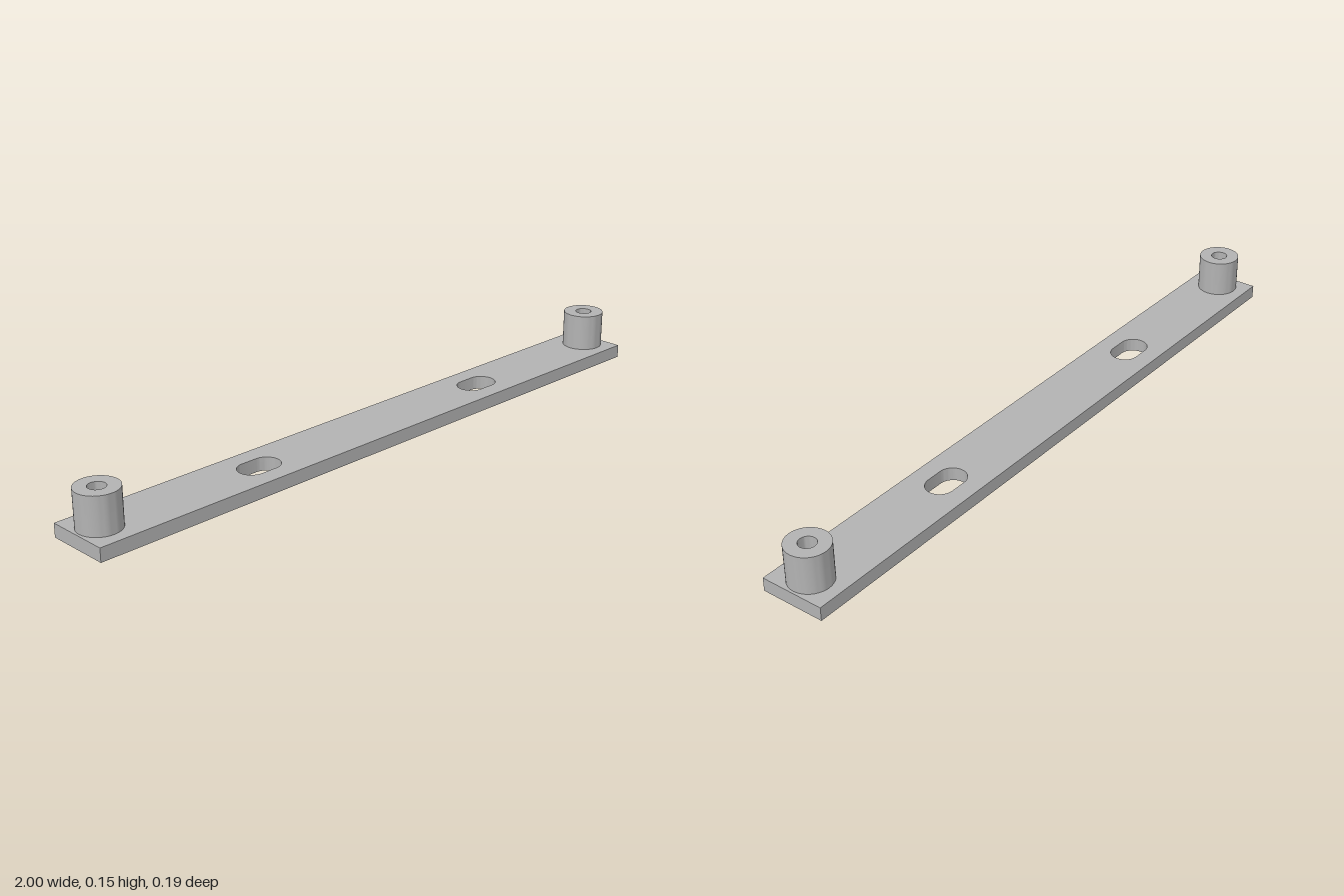
import * as THREE from 'three';
import { toCreasedNormals } from 'three/addons/utils/BufferGeometryUtils.js';

const THICK = 0.039, HALF_W = 0.094, BOSS_X = 0.933, TOP = 0.147;

// Extrude a plan shape upward from height y0 to y1, keeping sharp edges crisp
function slab(shape, y0, y1) {
  const geo = new THREE.ExtrudeGeometry(shape, { depth: y1 - y0, bevelEnabled: false, curveSegments: 24 });
  geo.rotateX(-Math.PI / 2).translate(0, y0, 0);
  return toCreasedNormals(geo, Math.PI / 5);
}

const circle = (Type, r) => new Type().absarc(0, 0, r, 0, Math.PI * 2, false);

// Rounded slot, lengthwise along x
function slotHole(cx, half, r) {
  const p = new THREE.Path();
  p.absarc(cx + half - r, 0, r, -Math.PI / 2, Math.PI / 2, false);
  p.absarc(cx - half + r, 0, r, Math.PI / 2, Math.PI * 1.5, false);
  p.closePath();
  return p;
}

// Hexagonal nut pocket with corners pointing across the bar
function hexHole(cx, r) {
  const points = [];
  for (let i = 0; i < 6; i++) {
    const a = Math.PI / 2 + (i * Math.PI) / 3;
    points.push(new THREE.Vector2(cx + r * Math.cos(a), r * Math.sin(a)));
  }
  return new THREE.Path(points);
}

export function createModel() {
  const group = new THREE.Group();
  const grey = new THREE.MeshStandardMaterial({ color: 0xb3b3b3 });
  grey.name = 'grey';

  // Flat bar with two slots and a nut pocket under each boss
  const bar = new THREE.Shape([
    new THREE.Vector2(-1, -HALF_W), new THREE.Vector2(1, -HALF_W),
    new THREE.Vector2(1, HALF_W), new THREE.Vector2(-1, HALF_W),
  ]);
  for (const side of [-1, 1]) {
    bar.holes.push(slotHole(side * 0.427, 0.065, 0.041), hexHole(side * BOSS_X, 0.042));
  }
  const plate = new THREE.Mesh(slab(bar, 0, THICK), grey);
  plate.name = 'mountingBar';
  group.add(plate);

  // Bored round boss at each end; its underside closes the nut pocket
  const ring = circle(THREE.Shape, 0.06);
  ring.holes.push(circle(THREE.Path, 0.024));
  const bossGeo = slab(ring, THICK, TOP);
  for (const side of [-1, 1]) {
    const boss = new THREE.Mesh(bossGeo, grey);
    boss.name = side > 0 ? 'leftBoss' : 'rightBoss';
    boss.position.x = side * BOSS_X;
    group.add(boss);
  }
  return group;
}
